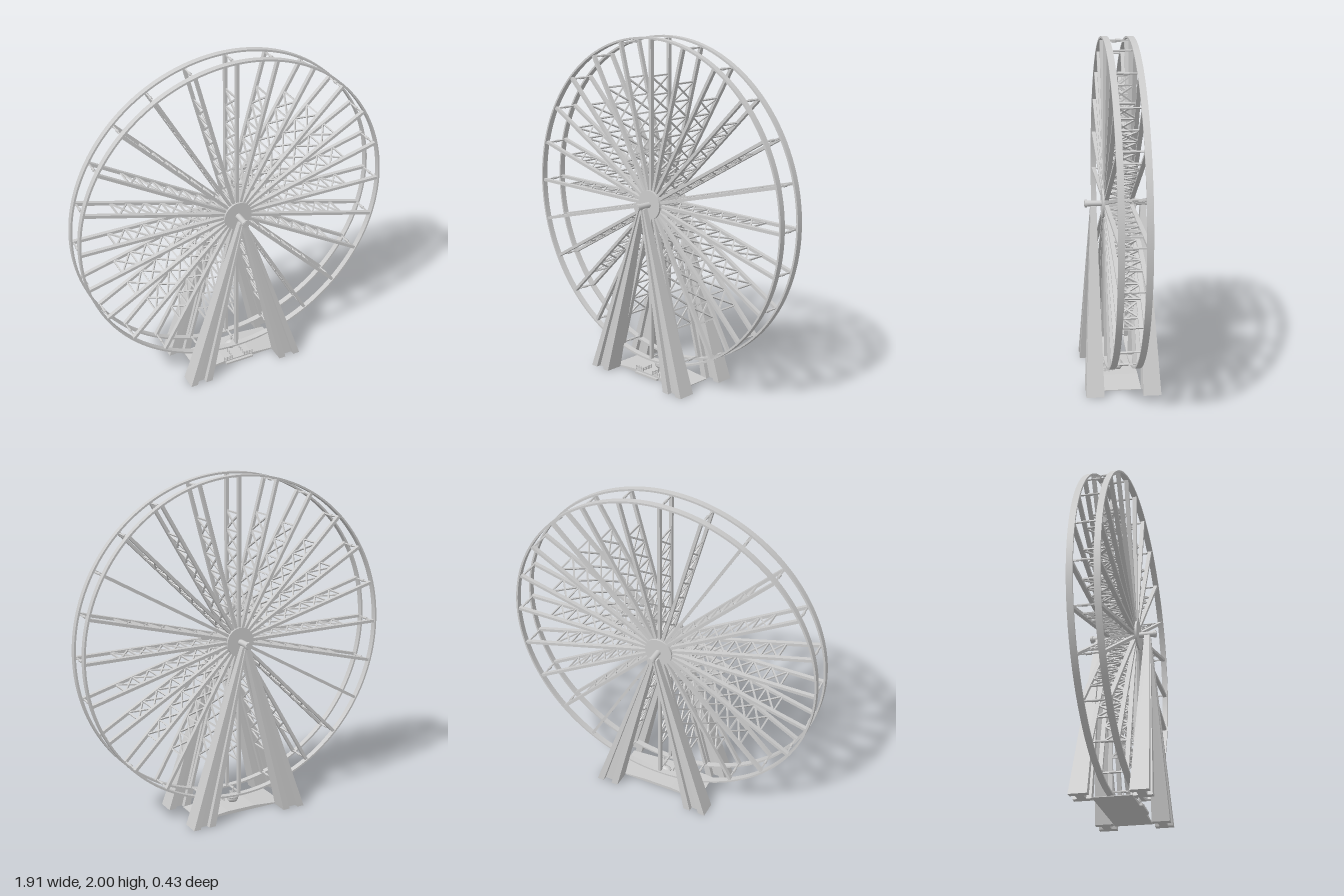
import * as THREE from 'three';
import { mergeGeometries, toCreasedNormals } from 'three/addons/utils/BufferGeometryUtils.js';

const CY = 1.047;      // axle height
const R = 0.953;       // wheel radius
const SPOKES = 24;
const SPOKE_Z = 0.072; // distance of each spoke plane from the middle
const V = (x, y, z) => new THREE.Vector3(x, y, z);

export function createModel() {
  const root = new THREE.Group();
  const grey = new THREE.MeshStandardMaterial({ color: 0xcccccc });

  function add(parent, name, geometry, x = 0, y = 0, z = 0) {
    const mesh = new THREE.Mesh(geometry, grey);
    mesh.name = name;
    mesh.position.set(x, y, z);
    parent.add(mesh);
    return mesh;
  }

  // Rectangular bar between two points
  function bar(a, b, w, d = w) {
    const dir = b.clone().sub(a);
    const g = new THREE.BoxGeometry(w, dir.length(), d);
    g.applyQuaternion(new THREE.Quaternion().setFromUnitVectors(V(0, 1, 0), dir.normalize()));
    return g.translate((a.x + b.x) / 2, (a.y + b.y) / 2, (a.z + b.z) / 2);
  }

  // Cylinder lying along z
  const drum = (r, length, sides = 32) =>
    new THREE.CylinderGeometry(r, r, length, sides).rotateX(Math.PI / 2);

  // Wheel
  const wheel = new THREE.Group();
  wheel.name = 'wheel';
  wheel.position.y = CY;
  root.add(wheel);

  const ring = new THREE.Shape().absarc(0, 0, R, 0, Math.PI * 2);
  ring.holes.push(new THREE.Path().absarc(0, 0, R - 0.011, 0, Math.PI * 2, true));
  const rim = toCreasedNormals(
    new THREE.ExtrudeGeometry(ring, { depth: 0.035, bevelEnabled: false, curveSegments: 96 }), 0.5);
  add(wheel, 'frontRim', rim, 0, 0, 0.055);
  add(wheel, 'backRim', rim, 0, 0, -0.09);

  // One spoke pair with its cross-braced truss, pointing up
  const parts = [];
  for (const s of [-1, 1]) {
    const g = new THREE.BoxGeometry(0.017, R - 0.065, 0.024);
    parts.push(g.translate(0, (R + 0.055) / 2, s * SPOKE_Z));
  }
  const cells = 6, r0 = 0.1, cell = (0.735 - r0) / cells;
  for (let i = 0; i <= cells; i++) {
    const y = r0 + i * cell;
    parts.push(bar(V(0, y, -SPOKE_Z), V(0, y, SPOKE_Z), 0.009));
    if (i === cells) break;
    for (const s of [-1, 1]) {
      parts.push(bar(V(0, y, -s * SPOKE_Z), V(0, y + cell, s * SPOKE_Z), 0.009));
    }
  }
  // Outer pivot bar with a sleeve at its middle
  parts.push(bar(V(0, 0.935, -SPOKE_Z), V(0, 0.935, SPOKE_Z), 0.008));
  parts.push(drum(0.008, 0.03, 10).translate(0, 0.935, 0));
  const spoke = mergeGeometries(parts);
  for (let i = 0; i < SPOKES; i++) {
    add(wheel, 'spokeTruss', spoke).rotation.z = (i / SPOKES) * Math.PI * 2;
  }

  // Hub and axle
  add(wheel, 'hubDrum', drum(0.08, 0.12, 40));
  for (const s of [-1, 1]) {
    add(wheel, 'hubDisc', drum(0.085, 0.04, 40), 0, 0, s * 0.075);
    add(wheel, 'axleCollar', drum(0.022, 0.014), 0, 0, s * 0.186);
  }
  add(wheel, 'axle', drum(0.017, 0.39));

  // Tapered H-section leg, mirrored to four corners
  const f = 0.4, w = 0.45;
  const section = new THREE.Shape([
    [-1, -1], [-f, -1], [-f, -w], [f, -w], [f, -1], [1, -1],
    [1, 1], [f, 1], [f, w], [-f, w], [-f, 1], [-1, 1],
  ].map(([x, y]) => new THREE.Vector2(x, y)));
  const leg = new THREE.ExtrudeGeometry(section, { depth: 1, bevelEnabled: false });
  const p = leg.attributes.position;
  const lerp = THREE.MathUtils.lerp;
  for (let i = 0; i < p.count; i++) {
    const u = p.getX(i), v = p.getY(i), t = p.getZ(i);
    p.setXYZ(i,
      lerp(0.3, 0.008, t) + u * lerp(0.07, 0.014, t),
      t * 1.035,
      lerp(0.163, 0.144, t) - v * lerp(0.052, 0.016, t));
  }
  leg.computeVertexNormals();
  for (const sx of [-1, 1]) {
    for (const sz of [-1, 1]) add(root, 'leg', leg).scale.set(sx, 1, sz);
  }

  // Boarding platform with ramped ends
  const deck = new THREE.Shape([
    [-0.28, 0], [0.28, 0], [0.28, 0.004], [0.09, 0.02], [-0.09, 0.02], [-0.28, 0.004],
  ].map(([x, y]) => new THREE.Vector2(x, y)));
  add(root, 'platform',
    new THREE.ExtrudeGeometry(deck, { depth: 0.216, bevelEnabled: false }), 0, 0, -0.108);
  add(root, 'frontStep', new THREE.BoxGeometry(0.18, 0.012, 0.02), 0, 0.006, 0.115);

  // Railings beside the entrance
  const rails = [];
  for (const s of [-1, 1]) {
    const path = [V(s * 0.095, 0.02, 0.105), V(s * 0.04, 0.02, 0.105), V(s * 0.04, 0.02, 0.035)];
    for (let k = 0; k < 2; k++) {
      for (const h of [0.009, 0.018]) {
        const lift = V(0, h, 0);
        rails.push(bar(path[k].clone().add(lift), path[k + 1].clone().add(lift), 0.004));
      }
      for (let i = 0; i <= 3; i++) {
        const q = path[k].clone().lerp(path[k + 1], i / 3);
        rails.push(bar(q, q.clone().setY(0.045), 0.005));
      }
    }
  }
  add(root, 'railings', mergeGeometries(rails));

  // Gondola hanging at the bottom of the wheel
  const gondola = new THREE.Group();
  gondola.name = 'gondola';
  root.add(gondola);
  const profile = [[0, 0.024], [0.017, 0.024], [0.025, 0.038], [0.025, 0.05], [0.028, 0.052],
    [0.028, 0.058], [0.02, 0.07], [0.008, 0.078], [0, 0.08]].map(([x, y]) => new THREE.Vector2(x, y));
  const cabin = toCreasedNormals(new THREE.LatheGeometry(profile, 20), 0.5);
  add(gondola, 'cabin', cabin).scale.x = 1.4;
  add(gondola, 'hanger', new THREE.CylinderGeometry(0.003, 0.006, 0.036, 8), 0, 0.095, 0);

  return root;
}
